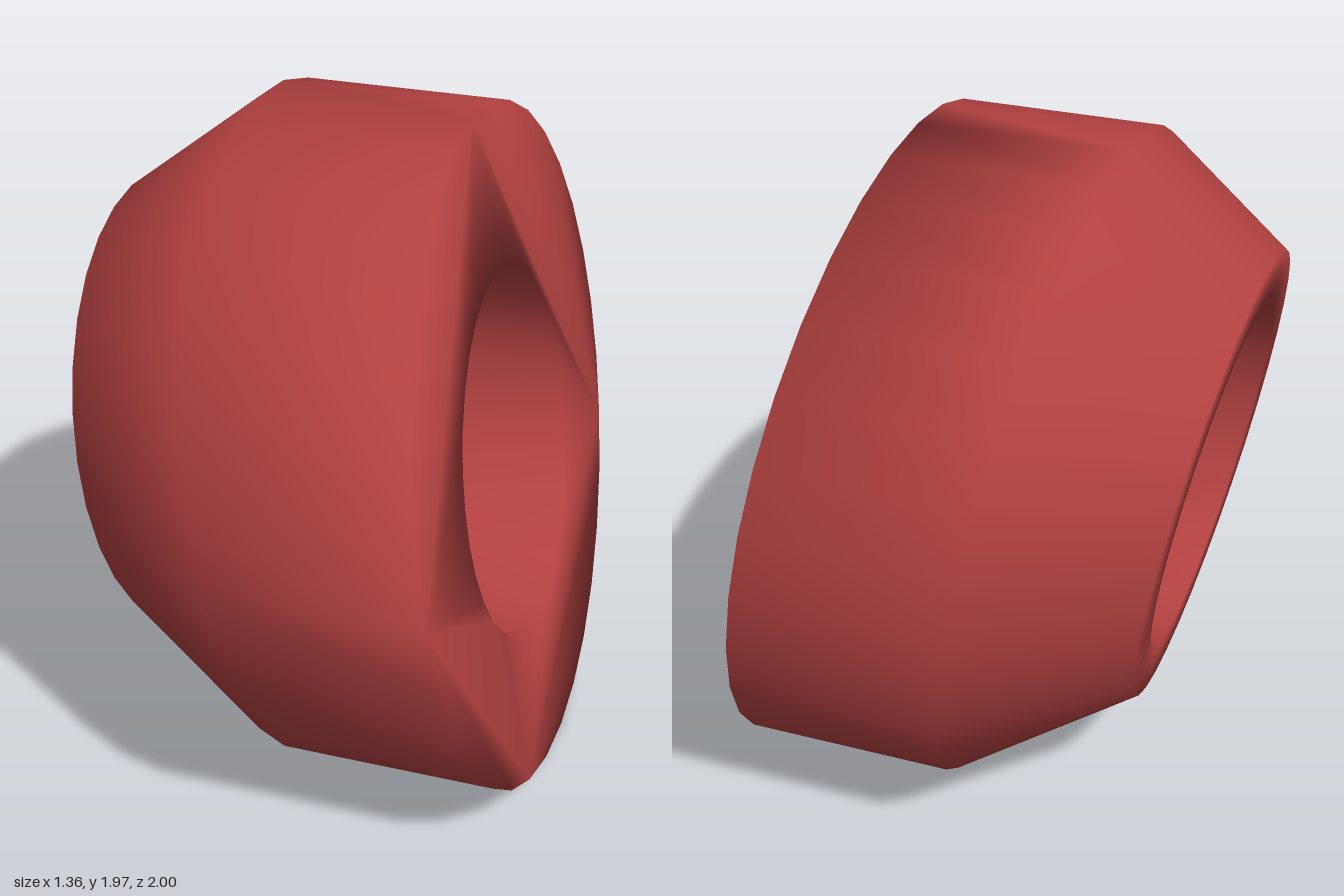
import * as THREE from 'three';

const N = 32;                       // sides of every ring
const TILT = THREE.MathUtils.degToRad(10);

// Rings ordered around the section: [x, radius, z offset]
const RINGS = [
  [0.505, 0.543, 0.027],            // 0 hole, wide end
  [0.505, 1.0, 0],                  // 1 rim, wide end
  [-0.11, 1.0, 0],                  // 2 shoulder
  [-0.56, 0.685, 0.02],             // 3 rim, narrow end
  [-0.56, 0.543, 0.027],            // 4 hole, narrow end
];

function ringGeometry() {
  const positions = [], index = [];
  const id = (ring, i) => ring * N + ((i % N) + N) % N;

  // Each ring is a circle leaning by the tilt angle
  for (const [x, r, dz] of RINGS) {
    for (let i = 0; i < N; i++) {
      const a = (i / N) * Math.PI * 2, up = r * Math.sin(a);
      positions.push(x - Math.sin(TILT) * up, 0.985 + Math.cos(TILT) * up, dz - r * Math.cos(a));
    }
  }

  // Barrel, taper, narrow end and hole wall
  for (const [a, b] of [[1, 2], [2, 3], [3, 4], [4, 0]]) {
    for (let i = 0; i < N; i++) {
      index.push(id(a, i), id(b, i), id(a, i + 1));
      index.push(id(a, i + 1), id(b, i), id(b, i + 1));
    }
  }

  // Flat wide end: four chords between rim corners, fans on both sides of them
  const corners = [8, 16, 22, 30, 40], mids = [3, 12, 19, 26, 35];
  for (let k = 0; k < 4; k++) {
    const c = corners[k], next = corners[k + 1];
    for (let i = c + 1; i < next; i++) index.push(id(1, c), id(1, i), id(1, i + 1));
    for (let j = mids[k]; j < mids[k + 1]; j++) index.push(id(1, c), id(0, j + 1), id(0, j));
    index.push(id(1, c), id(1, next), id(0, mids[k + 1]));
  }

  const geometry = new THREE.BufferGeometry();
  geometry.setAttribute('position', new THREE.Float32BufferAttribute(positions, 3));
  geometry.setIndex(index);
  geometry.computeVertexNormals();
  return geometry;
}

export function createModel() {
  const red = new THREE.MeshStandardMaterial({ color: 0xb34141 });
  red.name = 'red';
  const ring = new THREE.Mesh(ringGeometry(), red);
  ring.name = 'taperedRing';
  const group = new THREE.Group();
  group.name = 'ringBead';
  group.add(ring);
  return group;
}
